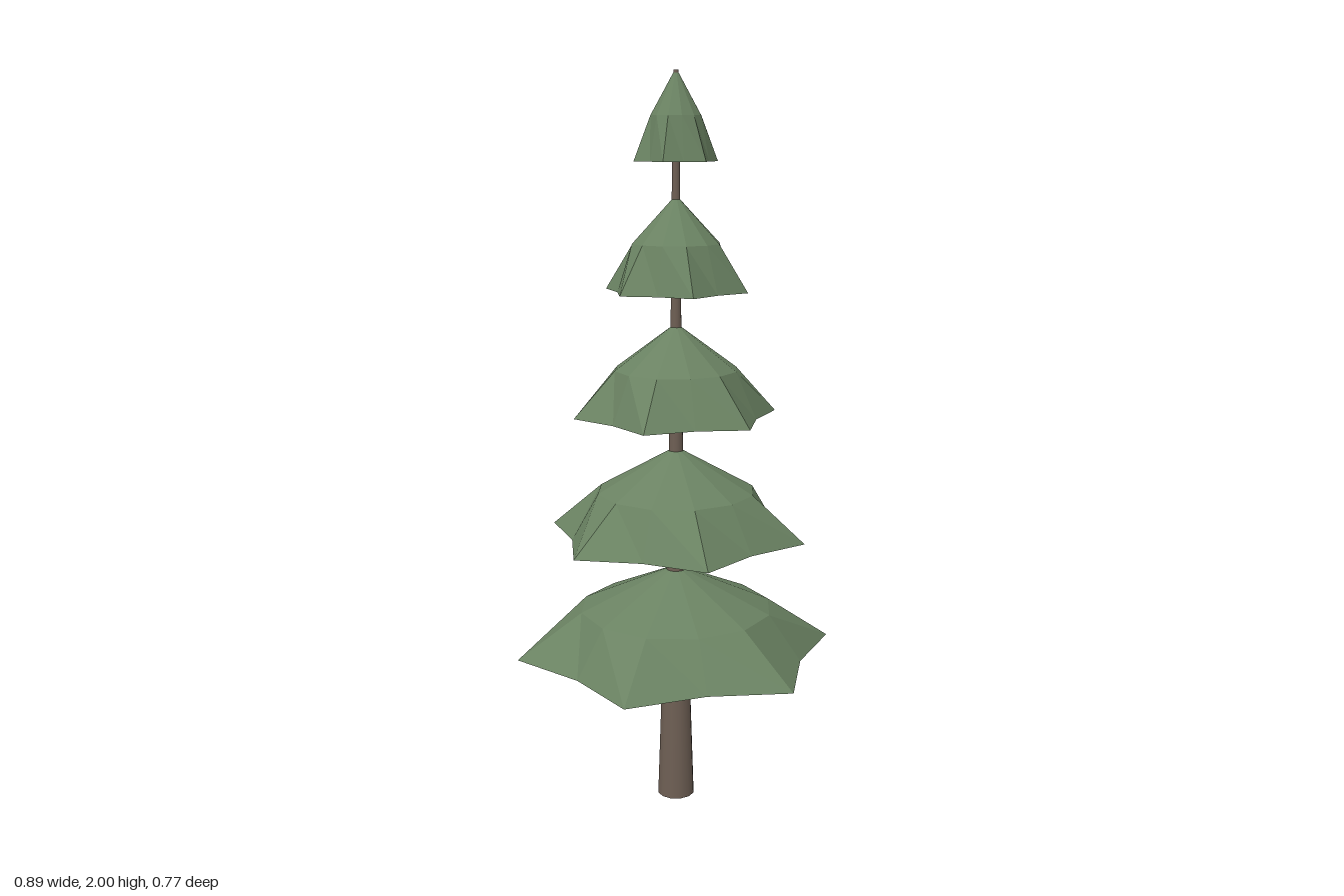
import * as THREE from 'three';

const SIDES = 12;

// Open, skirt-like tier: round at the shoulder, six-pointed star at the rim.
function tierGeometry(radius, rimY, topY, pointsOnOdd) {
  const profile = [
    new THREE.Vector2(radius, rimY),
    new THREE.Vector2(radius * 0.6, (rimY + topY) / 2 + 0.002),
    new THREE.Vector2(0.004, topY),
  ];
  const geo = new THREE.LatheGeometry(profile, SIDES);
  const pos = geo.attributes.position;
  for (let i = 0; i <= SIDES; i++) {
    const isPoint = (i % 2 === 1) === pointsOnOdd;
    if (isPoint) continue;
    const k = i * profile.length; // rim vertex of this column
    pos.setX(k, pos.getX(k) * 0.8);
    pos.setZ(k, pos.getZ(k) * 0.8);
  }
  geo.computeVertexNormals();
  return geo;
}

export function createModel() {
  const tree = new THREE.Group();
  tree.name = 'pineTree';

  const bark = new THREE.MeshStandardMaterial({ color: 0x6e5f54 });
  bark.name = 'barkBrown';
  const needles = new THREE.MeshStandardMaterial({
    color: 0x6a8262, flatShading: true, side: THREE.DoubleSide,
  });
  needles.name = 'needleGreen';

  // Trunk, tapering quickly at first and then slowly to the tip
  const trunkProfile = [
    [0.052, 0], [0.037, 0.44], [0.025, 0.7], [0.019, 1.05],
    [0.014, 1.4], [0.011, 1.72], [0.007, 2],
  ].map(([r, y]) => new THREE.Vector2(r, y));
  const trunk = new THREE.Mesh(new THREE.LatheGeometry(trunkProfile, SIDES), bark);
  trunk.name = 'trunk';
  tree.add(trunk);

  // Flat ends of the trunk
  for (const [name, r, y, tilt] of [
    ['trunkBase', 0.052, 0, Math.PI / 2],
    ['trunkTip', 0.007, 2, -Math.PI / 2],
  ]) {
    const cap = new THREE.Mesh(new THREE.CircleGeometry(r, SIDES), bark);
    cap.name = name;
    cap.rotation.x = tilt;
    cap.position.y = y;
    tree.add(cap);
  }

  // Branch tiers, each turned half a point from the one below
  const tiers = [
    [0.444, 0.439, 0.68],
    [0.36, 0.772, 1.015],
    [0.278, 1.105, 1.35],
    [0.196, 1.438, 1.683],
    [0.112, 1.772, 1.998],
  ];
  tiers.forEach(([radius, rimY, topY], i) => {
    const tier = new THREE.Mesh(tierGeometry(radius, rimY, topY, i % 2 === 0), needles);
    tier.name = `branchTier${i + 1}`;
    tree.add(tier);
  });

  return tree;
}
